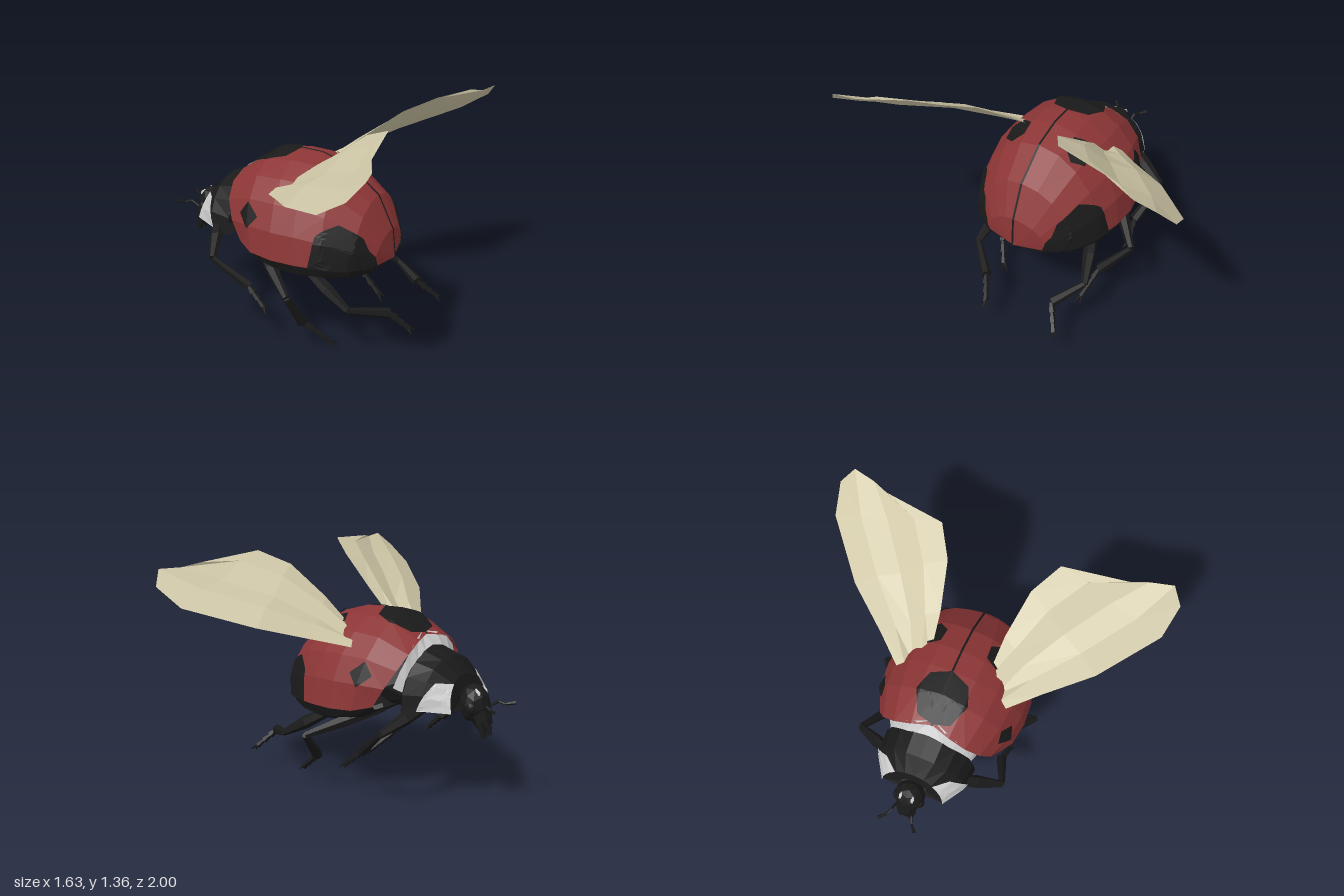
import * as THREE from 'three';

const V = (x, y, z) => new THREE.Vector3(x, y, z);
const mat = (color) => new THREE.MeshStandardMaterial({ color, flatShading: true, side: THREE.DoubleSide });
const black = mat(0x1a1a1a), red = mat(0x8c3535), pale = mat(0xcccccc), beige = mat(0xd0c8a8);

// Faceted surface through rows of points
function grid(rows) {
  const pos = [], idx = [], n = rows[0].length;
  rows.forEach((r) => r.forEach((p) => pos.push(p.x, p.y, p.z)));
  for (let i = 0; i + 1 < rows.length; i++) {
    for (let j = 0; j + 1 < n; j++) {
      const a = i * n + j, b = a + n;
      idx.push(a, b, a + 1, b, b + 1, a + 1);
    }
  }
  const g = new THREE.BufferGeometry();
  g.setAttribute('position', new THREE.Float32BufferAttribute(pos, 3));
  g.setIndex(idx);
  g.computeVertexNormals();
  return g;
}

// Domed half surface: each station is [spineX, spineY, rimX, rimY, rimZ, forward bow]
const STEPS = 5;
function dome(stations) {
  const knot = (i, j, s) => {
    const [sx, sy, rx, ry, rz, bow = 0] = stations[i];
    const a = (j / STEPS) * Math.PI / 2, c = Math.cos(a);
    return V(rx + (sx - rx) * c - bow * Math.sin(2 * a), ry + (sy - ry) * c, s * rz * Math.sin(a));
  };
  // Point on the facets at station u, and v from spine (0) to rim (1)
  const at = (u, v, s) => {
    u = THREE.MathUtils.clamp(u, 0, stations.length - 1);
    v = THREE.MathUtils.clamp(v, 0, 1) * STEPS;
    const i = Math.min(Math.floor(u), stations.length - 2), j = Math.min(Math.floor(v), STEPS - 1);
    const fu = u - i, fv = v - j;
    const p10 = knot(i + 1, j, s), p01 = knot(i, j + 1, s);
    if (fu + fv < 1) {
      const p = knot(i, j, s);
      return p.clone().addScaledVector(p10.sub(p), fu).addScaledVector(p01.sub(p), fv);
    }
    const p = knot(i + 1, j + 1, s);
    return p.clone().addScaledVector(p01.sub(p), 1 - fu).addScaledVector(p10.sub(p), 1 - fv);
  };
  const half = (s) => grid(stations.map((_, i) => Array.from({ length: STEPS + 1 }, (_, j) => knot(i, j, s))));
  return { at, half };
}

// Coloured patch lying just above a dome, outlined by [u, v] corners
function patch(surface, corners, s, core, lift = 0.009) {
  const cu = corners.reduce((t, c) => t + c[0], 0) / corners.length;
  const cv = corners.reduce((t, c) => t + c[1], 0) / corners.length;
  const rows = [];
  for (let r = 0; r <= 8; r++) {
    const row = [];
    for (let k = 0; k <= corners.length * 4; k++) {
      const a = corners[Math.floor(k / 4) % corners.length], b = corners[(Math.floor(k / 4) + 1) % corners.length];
      const f = (k % 4) / 4, t = r / 8;
      const u = cu + (a[0] + (b[0] - a[0]) * f - cu) * t, v = cv + (a[1] + (b[1] - a[1]) * f - cv) * t;
      const p = surface.at(u, v, s);
      row.push(p.addScaledVector(p.clone().sub(core).normalize(), lift));
    }
    rows.push(row);
  }
  return grid(rows);
}

export function createModel() {
  const model = new THREE.Group();
  const add = (name, geo, material, parent = model) => {
    const m = new THREE.Mesh(geo, material);
    m.name = name;
    parent.add(m);
    return m;
  };
  const ball = (name, c, r, material = black, detail = 1) => {
    const m = add(name, new THREE.IcosahedronGeometry(1, detail), material);
    m.position.set(...c);
    m.scale.set(...r);
    return m;
  };
  // Tapered bar between two points
  const bar = (name, a, b, r0, r1, parent = model, sides = 6) => {
    const d = b.clone().sub(a);
    const m = add(name, new THREE.CylinderGeometry(r1, r0, d.length(), sides), black, parent);
    m.position.copy(a).add(b).multiplyScalar(0.5);
    m.quaternion.setFromUnitVectors(V(0, 1, 0), d.normalize());
  };

  // Wing cases
  const rimStations = [
    [-0.29, 0.95, -0.2, 0.6, 0.36, 0.06], [-0.14, 1.05, -0.1, 0.575, 0.42, 0.02],
    [0, 1.065, 0.04, 0.565, 0.44], [0.13, 1.06, 0.18, 0.56, 0.43],
    [0.29, 1.01, 0.32, 0.55, 0.39], [0.47, 0.87, 0.46, 0.54, 0.31],
    [0.56, 0.69, 0.54, 0.53, 0.19], [0.58, 0.52, 0.58, 0.52, 0]];
  const shell = dome(rimStations);
  const core = V(0.1, 0.6, 0);
  const oval = (u, v, ru, rv, n, from = 0, sweep = 2) => Array.from({ length: n }, (_, k) => {
    const a = from + (k / (sweep === 2 ? n : n - 1)) * sweep * Math.PI;
    return [u + ru * Math.cos(a), v + rv * Math.sin(a)];
  });
  const spots = {
    shoulderSpot: oval(1.03, 0, 0.97, 0.23, 5, 0, 1),
    sideSpot: oval(1, 0.72, 0.43, 0.1, 4),
    middleSpot: oval(3.4, 0.31, 0.5, 0.12, 6),
    rearSpot: oval(4.85, 1, 1.35, 0.42, 6, Math.PI, 1),
  };
  // Pronotum
  const collarPlate = dome([
    [-0.34, 0.9, -0.33, 0.57, 0.28], [-0.46, 0.86, -0.45, 0.61, 0.27],
    [-0.545, 0.77, -0.59, 0.6, 0.18], [-0.56, 0.7, -0.57, 0.63, 0.08]]);
  const collar = dome([[-0.35, 0.89, -0.32, 0.68, 0.25], [-0.265, 0.967, -0.27, 0.7, 0.27, 0.055]]);
  for (const s of [1, -1]) {
    const side = s > 0 ? 'Left' : 'Right';
    add('wingCase' + side, shell.half(s), red);
    for (const key in spots) add(key + side, patch(shell, spots[key], s, core), black);
    add('pronotum' + side, collarPlate.half(s), black);
    add('cheekPatch' + side,
      patch(collarPlate, [[2, 0.4], [1.35, 0.55], [0.85, 1], [2, 1]], s, V(-0.42, 0.65, 0)), pale);
    add('collar' + side, collar.half(s), pale);
  }
  add('pronotumFloor', grid([0, 1, 2, 3].map((u) => [collarPlate.at(u, 1, 1), collarPlate.at(u, 1, -1)])), black);

  // Seam between the wing cases
  const seam = rimStations.map(([x, y]) => V(x, y, 0).addScaledVector(V(x, y, 0).sub(core).normalize(), 0.011));
  add('seam', grid(seam.map((p) => [V(p.x, p.y, 0.006), V(p.x, p.y, -0.006)])), black);

  // Abdomen underside
  const bellyY = [0.56, 0.5, 0.46, 0.44, 0.44, 0.455, 0.47, 0.5];
  add('abdomen', grid(rimStations.map(([, , x, y, z], i) => {
    const b = bellyY[i], m = b + (y - b) * 0.45, k = x * 0.96;
    const half = [[y, 0.98, x * 0.985], [m, 0.92, k], [b + 0.005, 0.7, k], [b, 0.3, k]];
    const pts = half.map(([py, f, px]) => V(px, py, z * f));
    return [...pts, ...pts.map((p) => V(p.x, p.y, -p.z)).reverse()];
  })), black);
  ball('thorax', [-0.22, 0.7, 0], [0.23, 0.17, 0.28]);
  ball('chest', [-0.4, 0.65, 0], [0.15, 0.1, 0.2]);

  // Head
  ball('head', [-0.62, 0.62, 0], [0.085, 0.11, 0.09]);
  bar('muzzle', V(-0.64, 0.6, 0), V(-0.69, 0.5, 0), 0.075, 0.045);
  for (const s of [1, -1]) {
    ball('eye', [-0.64, 0.61, s * 0.07], [0.03, 0.04, 0.025]);
    ball('faceMark', [-0.655, 0.694, s * 0.035], [0.03, 0.018, 0.012], pale, 0).rotation.z = 0.6;
    bar('mandible', V(-0.68, 0.53, s * 0.035), V(-0.705, 0.445, s * 0.03), 0.03, 0.014, model, 5);
    const feeler = [V(-0.68, 0.6, s * 0.05), V(-0.735, 0.637, s * 0.06), V(-0.77, 0.625, s * 0.075), V(-0.81, 0.632, s * 0.11)];
    for (let i = 0; i < 3; i++) bar('antenna', feeler[i], feeler[i + 1], 0.007, [0.007, 0.008, 0.011][i], model, 5);
  }

  // Pleated hind wings, rows running from root to tip
  const outer = [V(-0.03, 0.9, 0.33), V(0.1, 0.95, 0.48), V(0.29, 1.03, 0.72), V(0.59, 1.14, 0.97)];
  const inner = [V(0.07, 0.94, 0.17), V(0.28, 1.12, 0.19), V(0.5, 1.29, 0.24), V(0.66, 1.365, 0.34)];
  const wingRows = outer.map((o, i) => [0, 1, 2, 3, 4].map((k) => {
    const p = o.clone().lerp(inner[i], k / 4);
    p.y += [0, 0.02, -0.012, 0.018, 0][k];
    return p;
  }));
  wingRows.push([V(0.75, 1.24, 1), V(0.81, 1.32, 0.93), V(0.78, 1.315, 0.8), V(0.73, 1.335, 0.7), V(0.68, 1.355, 0.45)]);
  for (const s of [1, -1]) {
    add(s > 0 ? 'wingLeft' : 'wingRight', grid(wingRows.map((r) => r.map((p) => V(p.x, p.y, p.z * s)))), beige);
  }

  // Legs: hip, knee, ankle, toe
  const leg = (name, pts) => {
    const g = new THREE.Group();
    g.name = name;
    model.add(g);
    const [hip, knee, ankle, toe] = pts.map((p) => V(...p));
    const mid = hip.clone().lerp(knee, 0.5);
    bar('femur', hip, mid, 0.028, 0.038, g);
    bar('femur', mid, knee, 0.038, 0.02, g);
    bar('tibia', knee, ankle, 0.018, 0.031, g);
    for (let i = 0; i < 3; i++) {
      bar('tarsus', ankle.clone().lerp(toe, i * 0.27), ankle.clone().lerp(toe, (i + 1) * 0.27), 0.011, 0.023 - i * 0.003, g, 5);
    }
    const foot = ankle.clone().lerp(toe, 0.78);
    for (const d of [-0.022, 0.022]) bar('claw', foot, toe.clone().add(V(0, -d * 0.4, d)), 0.012, 0.003, g, 4);
  };
  for (const s of [1, -1]) {
    leg('frontLeg', [[-0.45, 0.63, s * 0.18], [-0.33, 0.5, s * 0.45], [-0.14, 0.34, s * 0.38], [-0.01, 0.22, s * 0.4]]);
  }
  leg('middleLegLeft', [[-0.17, 0.56, 0.22], [0.16, 0.38, 0.48], [0.19, 0.18, 0.35], [0.35, 0.012, 0.24]]);
  leg('middleLegRight', [[-0.17, 0.56, -0.22], [0.16, 0.4, -0.51], [0.22, 0.22, -0.35], [0.4, 0.07, -0.3]]);
  leg('hindLegLeft', [[0.18, 0.48, 0.28], [0.46, 0.31, 0.33], [0.63, 0.26, 0.16], [0.75, 0.14, 0.09]]);
  leg('hindLegRight', [[0.18, 0.48, -0.28], [0.46, 0.31, -0.38], [0.63, 0.26, -0.27], [0.75, 0.13, -0.36]]);
  return model;
}
